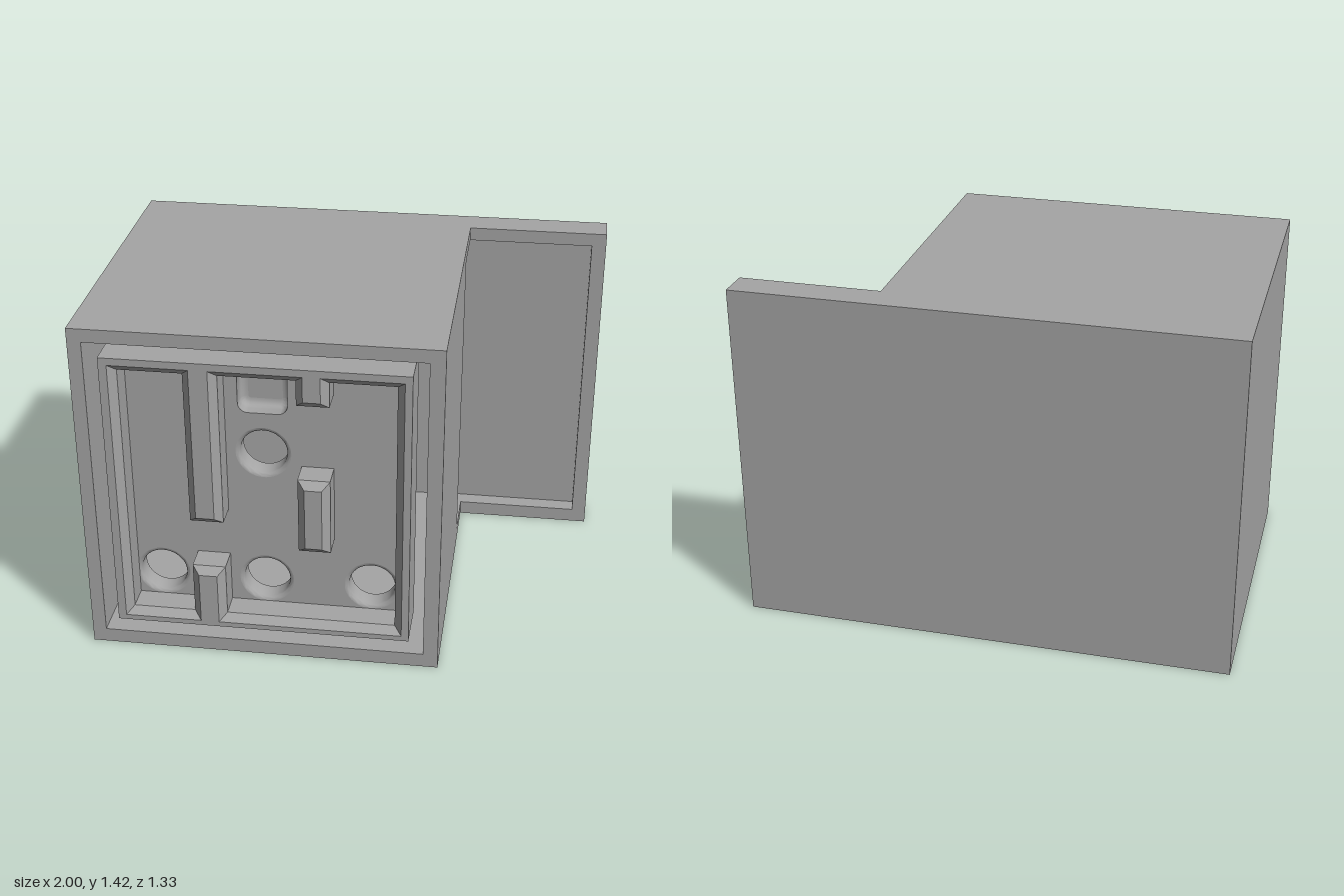
import * as THREE from 'three';
import { mergeGeometries, toCreasedNormals } from 'three/addons/utils/BufferGeometryUtils.js';

const FRONT = 0.663, BACK = -0.663, HEIGHT = 1.425, SIDE = 0.425;
const FLOOR = 0.53, UNDERSIDE = 0.45;

const rect = (x0, x1, y0, y1) => [[x0, y0], [x1, y0], [x1, y1], [x0, y1]];
const toVecs = (pts) => pts.map(([x, y]) => new THREE.Vector2(x, y));

function toShape(outline, holes) {
  const shape = new THREE.Shape(toVecs(outline));
  for (const h of holes) shape.holes.push(new THREE.Path(toVecs(h)));
  return shape;
}

// Flat face looking to +z
const face = (outline, z, holes = []) =>
  new THREE.ShapeGeometry(toShape(outline, holes)).translate(0, 0, z);

// Flat face looking to -z
function backFace(outline, z, holes) {
  const g = face(outline, z, holes);
  g.index.array.reverse();
  g.computeVertexNormals();
  return g;
}

// Solid plate with holes between two depths
const plate = (outline, z0, z1, holes = []) =>
  new THREE.ExtrudeGeometry(toShape(outline, holes), { depth: z1 - z0, bevelEnabled: false })
    .translate(0, 0, z0);

// Walls joining closed loops, front to back; counterclockwise loops face inward
function walls(levels) {
  const pos = [];
  for (let l = 0; l + 1 < levels.length; l++) {
    const [a, za] = levels[l], [b, zb] = levels[l + 1];
    for (let i = 0; i < a.length; i++) {
      const j = (i + 1) % a.length;
      pos.push(...a[i], za, ...a[j], za, ...b[i], zb);
      pos.push(...a[j], za, ...b[j], zb, ...b[i], zb);
    }
  }
  const g = new THREE.BufferGeometry();
  g.setAttribute('position', new THREE.Float32BufferAttribute(pos, 3));
  return toCreasedNormals(g, 0.7);
}

// Offset a right-angled outline sideways by d
function offset(pts, d) {
  const n = pts.length;
  const normal = (p, q) => {
    const dx = q[0] - p[0], dy = q[1] - p[1], len = Math.hypot(dx, dy);
    return [dy / len, -dx / len];
  };
  return pts.map((p, i) => {
    const a = normal(pts[(i + n - 1) % n], p), b = normal(p, pts[(i + 1) % n]);
    return [p[0] + d * (a[0] + b[0]), p[1] + d * (a[1] + b[1])];
  });
}

// Rounded square; a circle when r equals the half width h
function roundLoop(cx, cy, h, r) {
  return Array.from({ length: 40 }, (_, k) => {
    const a = ((k + 0.5) / 40) * Math.PI * 2, c = Math.cos(a), s = Math.sin(a);
    return [cx + Math.sign(c) * (h - r) + r * c, cy + Math.sign(s) * (h - r) + r * s];
  });
}

export function createModel() {
  const group = new THREE.Group();
  const material = new THREE.MeshStandardMaterial({ color: 0xa5a5a5 });
  const add = (name, ...geos) => {
    const flat = geos.map((g) => {
      const n = g.index ? g.toNonIndexed() : g;
      n.deleteAttribute('uv');
      return n;
    });
    const mesh = new THREE.Mesh(mergeGeometries(flat), material);
    mesh.name = name;
    group.add(mesh);
  };

  // Hollow housing, open at the front
  add('housing', plate(rect(-1, SIDE, 0, HEIGHT), -0.3, FRONT, [rect(-0.945, 0.365, 0.06, 1.37)]));

  // Rear part of the housing, open to +x as a slot
  add('slotWalls', plate([
    [-1, 0], [SIDE, 0], [SIDE, 0.06], [-0.945, 0.06],
    [-0.945, 1.37], [SIDE, 1.37], [SIDE, HEIGHT], [-1, HEIGHT],
  ], -0.53, -0.3));

  // Back plate with a shallow rimmed recess
  const back = rect(-1, 1, 0, HEIGHT);
  add('backPlate', plate(back, BACK, -0.6));
  add('backRim', plate(back, -0.6, -0.53, [rect(-0.945, 0.94, 0.06, 1.37)]));

  // Gentle ramp inside the housing, rising away from the slot
  add('ramp', plate([[-0.945, 0.6], [-0.945, 0.52], [0.4, 0.6]], 0.06, 1.37).rotateX(-Math.PI / 2));

  // Insert: rim with three ribs, chamfered on the inside
  const inner = [
    [-0.824, 0.17], [-0.572, 0.17], [-0.572, 0.39], [-0.438, 0.39], [-0.438, 0.17],
    [0.246, 0.17], [0.246, 1.25],
    [-0.011, 1.25], [-0.011, 1.144], [-0.139, 1.144], [-0.139, 1.25],
    [-0.438, 1.25], [-0.438, 0.6], [-0.572, 0.6], [-0.572, 1.25], [-0.824, 1.25],
  ];
  const chamfer = 0.03;
  const steps = (loop) => [[offset(loop, chamfer), FRONT], [loop, FRONT - chamfer], [loop, FLOOR]];
  const rim = rect(-0.887, 0.305, 0.118, 1.31);
  const rimCW = [...rim].reverse();
  add('insertRim',
    face(rim, FRONT, [offset(inner, chamfer)]),
    walls(steps(inner)),
    walls([[rimCW, FRONT], [rimCW, UNDERSIDE]]));

  // Free-standing block
  const block = rect(-0.139, -0.011, 0.495, 0.82).reverse();
  add('middleBlock', face(offset(block, chamfer), FRONT), walls(steps(block)));

  // Round holes through the insert floor, rounded at the mouth
  const quarter = Array.from({ length: 6 }, (_, k) => (k / 5) * Math.PI / 2);
  const mouths = [], exits = [];
  for (const [x, y] of [[-0.72, 0.28], [-0.29, 0.28], [0.14, 0.28], [-0.29, 0.87]]) {
    const levels = quarter.map((a) => {
      const r = 0.093 + 0.018 * (1 - Math.sin(a));
      return [roundLoop(x, y, r, r), FLOOR - 0.018 * (1 - Math.cos(a))];
    });
    const exit = levels[levels.length - 1][0];
    levels.push([exit, UNDERSIDE]);
    mouths.push(levels[0][0]);
    exits.push(exit);
    add('roundHole', walls(levels));
  }

  // Square well, rounded towards its floor
  const wellFloor = FLOOR - 0.07, fillet = 0.03;
  const mouth = roundLoop(-0.288, 1.142, 0.098, 0.04);
  const bowl = quarter.map((a) => {
    const inset = fillet * (1 - Math.cos(a));
    return [roundLoop(-0.288, 1.142, 0.098 - inset, 0.04 - inset),
      wellFloor + fillet * (1 - Math.sin(a))];
  });
  mouths.push(mouth);
  add('squareWell', walls([[mouth, FLOOR], ...bowl]), face(bowl[bowl.length - 1][0], wellFloor));

  add('insertFloor', face(rim, FLOOR, mouths), backFace(rim, UNDERSIDE, exits));

  return group;
}
